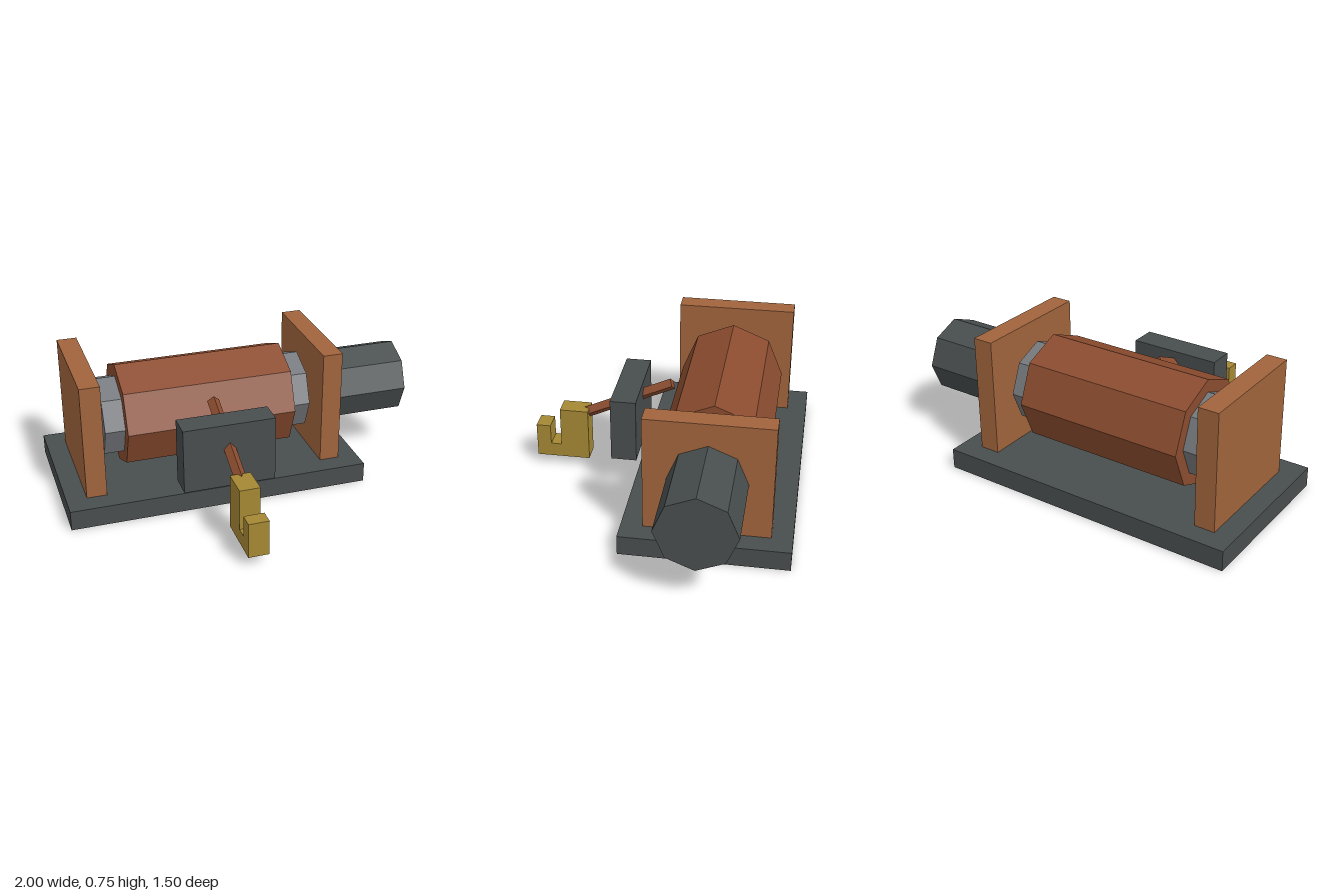
import * as THREE from 'three';

export function createModel() {
  const model = new THREE.Group();
  const mat = (name, color) => {
    const m = new THREE.MeshStandardMaterial({ color, flatShading: true });
    m.name = name;
    return m;
  };
  const steel = mat('darkSteel', 0x484d4e);
  const copper = mat('copperPlate', 0xa0643c);
  const rust = mat('rustBrown', 0x8b4c2f);
  const grey = mat('hubGrey', 0x75787c);
  const brass = mat('brass', 0xa68834);

  const add = (name, geometry, material) => {
    const mesh = new THREE.Mesh(geometry, material);
    mesh.name = name;
    model.add(mesh);
    return mesh;
  };
  // Box given by its extents on each axis
  const box = (name, material, [x0, x1], [y0, y1], [z0, z1]) =>
    add(name, new THREE.BoxGeometry(x1 - x0, y1 - y0, z1 - z0), material)
      .position.set((x0 + x1) / 2, (y0 + y1) / 2, (z0 + z1) / 2);
  // Octagonal roller lying along x on the winch axis
  const roller = (name, material, r, x0, x1) =>
    add(name, new THREE.CylinderGeometry(r, r, x1 - x0, 8).rotateZ(Math.PI / 2), material)
      .position.set((x0 + x1) / 2, 0.42, -0.306);

  // Frame
  box('basePlate', steel, [-1, 0.66], [0, 0.11], [-0.75, 0.14]);
  box('rightSidePlate', copper, [-0.89, -0.78], [0.11, 0.75], [-0.64, 0.025]);
  box('leftSidePlate', copper, [0.44, 0.55], [0.11, 0.75], [-0.64, 0.025]);

  // Drum, its hub and the motor
  roller('hub', grey, 0.222, -0.75, 0.41);
  roller('cableDrum', rust, 0.29, -0.64, 0.3);
  roller('motor', steel, 0.207, 0.55, 1);

  // Cable guide in front of the base
  box('cableGuide', steel, [-0.42, 0.08], [0.2, 0.56], [0.14, 0.28]);

  // Four-sided cable sloping from the drum to the hook
  const start = new THREE.Vector3(-0.17, 0.558, -0.022);
  const end = new THREE.Vector3(-0.17, 0.313, 0.515);
  const cable = add('cable', new THREE.CylinderGeometry(0.033, 0.033, start.distanceTo(end), 4), rust);
  cable.position.copy(start).lerp(end, 0.5);
  cable.rotation.x = Math.atan2(end.z - start.z, end.y - start.y);

  // Hook: side profile (z, y) extruded across x
  const profile = [[0.45, 0.06], [0.75, 0.06], [0.75, 0.255], [0.67, 0.255],
    [0.67, 0.14], [0.61, 0.14], [0.61, 0.365], [0.45, 0.365]];
  const shape = new THREE.Shape(profile.map(([z, y]) => new THREE.Vector2(-z, y)));
  const hook = new THREE.ExtrudeGeometry(shape, { depth: 0.11, bevelEnabled: false });
  add('hook', hook.rotateY(Math.PI / 2), brass).position.x = -0.225;

  return model;
}
